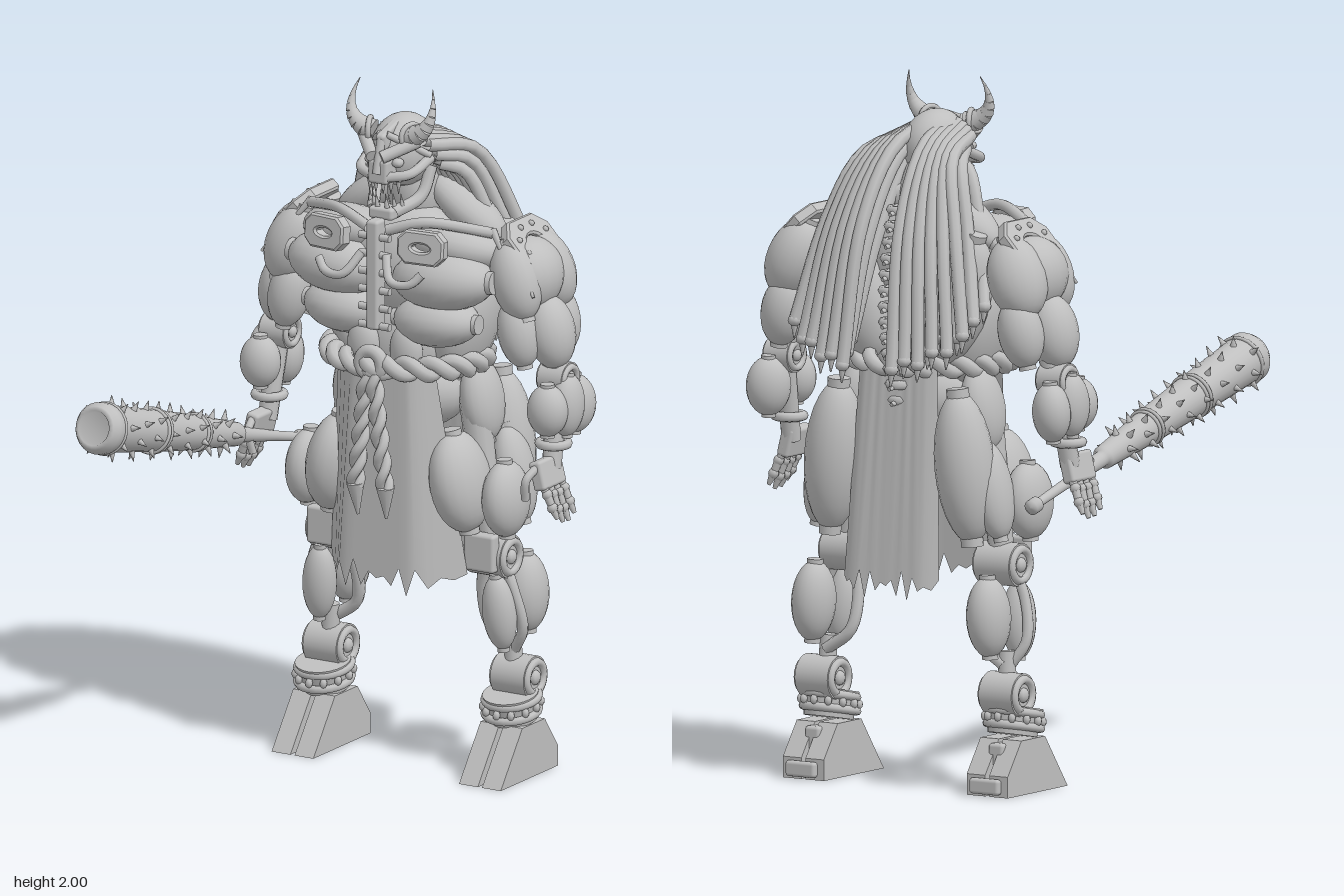
import * as THREE from 'three';
import { RoundedBoxGeometry } from 'three/addons/geometries/RoundedBoxGeometry.js';

const V = (x, y, z) => new THREE.Vector3(x, y, z);
const UP = V(0, 1, 0);

export function createModel() {
  const model = new THREE.Group();
  const clay = new THREE.MeshStandardMaterial({ color: 0xbfbfbf });
  clay.name = 'grey clay';
  const cloth = new THREE.MeshStandardMaterial({ color: 0xbfbfbf, side: THREE.DoubleSide });
  cloth.name = 'grey cloth';
  const ball = new THREE.SphereGeometry(1, 20, 14);
  const bead = new THREE.SphereGeometry(1, 8, 6);

  const add = (name, geo, p = [0, 0, 0], r = [0, 0, 0], mat = clay) => {
    const m = new THREE.Mesh(geo, mat);
    m.name = name;
    m.position.set(...p);
    m.rotation.set(...r);
    model.add(m);
    return m;
  };
  // ellipsoid, with fewer faces when tiny
  const ell = (name, p, radii) => {
    const m = add(name, Math.max(...radii) < 0.025 ? bead : ball, p);
    m.scale.set(...radii);
    return m;
  };
  // straight part from a to b, tapering from ra to rb
  const bar = (name, a, b, ra, rb = ra, n = 12) => {
    const A = V(...a), d = V(...b).sub(A);
    const m = add(name, new THREE.CylinderGeometry(rb, ra, d.length(), n), A.clone().addScaledVector(d, 0.5).toArray());
    m.quaternion.setFromUnitVectors(UP, d.normalize());
    return m;
  };
  // spindle-shaped muscle with small end caps
  const muscle = (name, a, b, rx, rz) => {
    const A = V(...a), d = V(...b).sub(A), len = d.length(), mid = A.clone().addScaledVector(d, 0.5);
    const m = ell(name, mid.toArray(), [rx, len / 2, rz]);
    m.quaternion.setFromUnitVectors(UP, d.clone().normalize());
    const t = Math.min(rx, rz) * 0.38;
    for (const e of [-1, 1]) {
      const c = mid.clone().addScaledVector(d, e * 0.46);
      bar(name + ' cap', c.toArray(), c.clone().addScaledVector(d, e * 0.06).toArray(), t);
    }
  };
  const tube = (name, pts, r, n = 16, closed = false) =>
    add(name, new THREE.TubeGeometry(new THREE.CatmullRomCurve3(pts.map(p => V(...p)), closed), n, r, 8, closed));
  const box = (name, p, size, r) =>
    add(name, new RoundedBoxGeometry(...size, 2, 0.01), p, r);
  const disc = (name, p, r, w) => {
    add(name, new THREE.CylinderGeometry(r, r, w, 24), p, [0, 0, Math.PI / 2]);
    for (const e of [-1, 1]) {
      add(name + ' rim', new THREE.TorusGeometry(r * 0.72, r * 0.2, 8, 20), [p[0] + e * w / 2, p[1], p[2]], [0, Math.PI / 2, 0]);
      ell(name + ' hub', [p[0] + e * w / 2, p[1], p[2]], [0.015, r * 0.35, r * 0.35]);
    }
  };
  // chamfered plate with a hole, lying in the XY plane
  const holedPlate = (w, h, hw, hh, d) => {
    const s = new THREE.Shape(), c = Math.min(w, h) * 0.25, x = w / 2, y = h / 2;
    [[-x + c, -y], [x - c, -y], [x, -y + c], [x, y - c], [x - c, y], [-x + c, y], [-x, y - c], [-x, -y + c]]
      .forEach((p, i) => i ? s.lineTo(...p) : s.moveTo(...p));
    s.closePath();
    s.holes.push(new THREE.Path().absellipse(0, 0, hw, hh, 0, Math.PI * 2, true));
    return new THREE.ExtrudeGeometry(s, { depth: d, curveSegments: 8, bevelSize: 0.006, bevelThickness: 0.006, bevelSegments: 1 });
  };

  // torso core, spine and ribs
  ell('rib cage', [0, 1.46, -0.31], [0.2, 0.18, 0.14]);
  ell('belly', [0, 1.24, -0.31], [0.17, 0.17, 0.13]);
  ell('pelvis', [0, 1.1, -0.32], [0.18, 0.12, 0.13]);
  box('sternum', [0, 1.47, -0.13], [0.04, 0.32, 0.05]);
  for (let i = 0; i < 13; i++) {
    const y = 1.1 + i * 0.045, z = -0.46 - 0.05 * Math.sin(i / 4);
    add('vertebra', new THREE.TorusGeometry(0.026, 0.014, 6, 14), [0, y, z], [Math.PI / 2, 0, 0]);
    bar('vertebra spine', [0, y, z], [0, y - 0.01, z - 0.05], 0.012, 0.006, 8);
  }
  for (let i = 0; i < 6; i++) bar('sternum rib', [-0.05, 1.32 + i * 0.052, -0.125], [0.05, 1.32 + i * 0.052, -0.125], 0.011);
  muscle('neck', [0, 1.54, -0.36], [0, 1.8, -0.31], 0.075, 0.08);

  const toe = new THREE.Shape([[-0.185, 0], [-0.49, 0], [-0.49, 0.06], [-0.42, 0.155], [-0.3, 0.155]].map(p => new THREE.Vector2(...p)));
  const toeGeo = new THREE.ExtrudeGeometry(toe, { depth: 0.062, bevelEnabled: false }).translate(0, 0, -0.031).rotateY(-Math.PI / 2);

  for (const s of [-1, 1]) {
    // foot and ankle
    for (const e of [-1, 1]) add('toe', toeGeo, [s * (0.31 + e * 0.038), 0, 0]);
    box('foot bridge', [s * 0.31, 0.08, -0.4], [0.05, 0.13, 0.1]);
    box('heel spur', [s * 0.31, 0.03, -0.5], [0.1, 0.045, 0.025]);
    add('ankle cup', new THREE.CylinderGeometry(0.08, 0.07, 0.08, 24), [s * 0.31, 0.2, -0.355], [0.2, 0, 0]);
    for (const y of [0.185, 0.225]) add('ankle ring', new THREE.TorusGeometry(0.077, 0.012, 8, 24), [s * 0.31, y, -0.355], [Math.PI / 2 + 0.2, 0, 0]);
    for (let i = 0; i < 12; i++) {
      const a = i * Math.PI / 6;
      ell('ankle stud', [s * 0.31 + 0.082 * Math.cos(a), 0.205 - 0.016 * Math.sin(a), -0.355 + 0.082 * Math.sin(a)], [0.011, 0.014, 0.011]);
    }
    disc('ankle joint', [s * 0.31, 0.28, -0.39], 0.062, 0.11);
    bar('shin post', [s * 0.305, 0.27, -0.38], [s * 0.3, 0.4, -0.375], 0.028, 0.024);
    // shin
    tube('shin bone', [[s * 0.3, 0.36, -0.39], [s * 0.22, 0.42, -0.385], [s * 0.21, 0.53, -0.36], [s * 0.24, 0.64, -0.335]], 0.018);
    tube('shin bone', [[s * 0.31, 0.36, -0.37], [s * 0.35, 0.43, -0.35], [s * 0.33, 0.55, -0.33], [s * 0.29, 0.64, -0.335]], 0.016);
    muscle('shin muscle', [s * 0.305, 0.37, -0.32], [s * 0.29, 0.59, -0.3], 0.05, 0.047);
    muscle('calf', [s * 0.3, 0.39, -0.46], [s * 0.29, 0.62, -0.46], 0.06, 0.072);
    disc('knee joint', [s * 0.26, 0.64, -0.335], 0.062, 0.12);
    box('kneecap', [s * 0.26, 0.66, -0.275], [0.1, 0.11, 0.04]);
    // thigh and hip
    bar('thigh bone', [s * 0.26, 0.64, -0.335], [s * 0.2, 1.1, -0.33], 0.035, 0.045);
    muscle('inner thigh', [s * 0.23, 0.72, -0.26], [s * 0.18, 1.01, -0.24], 0.078, 0.11);
    muscle('outer thigh', [s * 0.33, 0.71, -0.3], [s * 0.32, 0.93, -0.3], 0.06, 0.09);
    muscle('hamstring', [s * 0.24, 0.71, -0.46], [s * 0.2, 1.14, -0.475], 0.085, 0.088);
    muscle('outer hamstring', [s * 0.31, 0.72, -0.42], [s * 0.25, 1.0, -0.42], 0.055, 0.07);
    muscle('hip muscle', [s * 0.23, 0.96, -0.36], [s * 0.19, 1.2, -0.36], 0.055, 0.08);

    // chest, flank and back
    muscle('chest muscle', [s * 0.02, 1.45, -0.2], [s * 0.33, 1.47, -0.22], 0.088, 0.105);
    muscle('lower chest muscle', [s * 0.02, 1.33, -0.21], [s * 0.28, 1.34, -0.22], 0.075, 0.095);
    muscle('upper chest muscle', [s * 0.05, 1.56, -0.24], [s * 0.32, 1.53, -0.3], 0.07, 0.1);
    muscle('flank', [s * 0.14, 1.14, -0.32], [s * 0.22, 1.46, -0.34], 0.075, 0.12);
    muscle('back muscle', [s * 0.1, 1.2, -0.43], [s * 0.24, 1.58, -0.44], 0.1, 0.08);
    muscle('neck muscle', [s * 0.04, 1.7, -0.37], [s * 0.27, 1.55, -0.38], 0.055, 0.07);
    muscle('belly muscle', [s * 0.07, 1.16, -0.19], [s * 0.07, 1.32, -0.17], 0.05, 0.04);
    tube('collar bone', [[s * 0.03, 1.6, -0.14], [s * 0.14, 1.63, -0.17], [s * 0.3, 1.6, -0.27]], 0.016);
    add('chest plate', holedPlate(0.13, 0.085, 0.035, 0.018, 0.03), [s * 0.155, 1.57, -0.14], [-0.1, s * 0.15, 0]);
    tube('chest hook', [[s * 0.04, 1.53, -0.12], [s * 0.08, 1.47, -0.08], [s * 0.14, 1.47, -0.085], [s * 0.17, 1.5, -0.1]], 0.013);

    // shoulder
    ell('shoulder', [s * 0.365, 1.47, -0.35], [0.1, 0.11, 0.12]);
    muscle('front shoulder muscle', [s * 0.33, 1.58, -0.29], [s * 0.41, 1.36, -0.27], 0.075, 0.07);
    muscle('rear shoulder muscle', [s * 0.33, 1.58, -0.42], [s * 0.42, 1.36, -0.45], 0.08, 0.085);
    const plate = holedPlate(0.2, 0.16, 0.045, 0.035, 0.025).rotateY(s * Math.PI / 2);
    const pad = add('shoulder plate', plate, [s * 0.365, 1.545, -0.365], [0, 0, s * 0.75]);
    for (let i = 0; i < 8; i++) {
      const a = (i + 0.5) * Math.PI / 4;
      pad.add(ell('shoulder rivet', [s * 0.032, 0.06 * Math.sin(a), 0.075 * Math.cos(a)], [0.009, 0.009, 0.009]));
    }
    for (let i = 0; i < 4; i++) bar('shoulder tassel', [s * (0.3 + 0.03 * i), 1.61 - 0.03 * i, -0.27], [s * (0.36 + 0.03 * i), 1.53 - 0.03 * i, -0.245], 0.012, 0.004, 8);

    // upper arm
    bar('upper arm bone', [s * 0.38, 1.45, -0.36], [s * 0.46, 1.17, -0.36], 0.04, 0.035);
    muscle('outer arm muscle', [s * 0.42, 1.42, -0.35], [s * 0.465, 1.21, -0.35], 0.068, 0.075);
    muscle('biceps', [s * 0.36, 1.42, -0.28], [s * 0.4, 1.22, -0.28], 0.06, 0.062);
    muscle('triceps', [s * 0.38, 1.42, -0.46], [s * 0.42, 1.22, -0.45], 0.065, 0.065);
    disc('elbow joint', [s * 0.46, 1.18, -0.36], 0.05, 0.08);
    // forearm
    bar('forearm bone', [s * 0.46, 1.18, -0.36], [s * 0.47, 0.93, -0.31], 0.03, 0.028);
    muscle('forearm muscle', [s * 0.475, 1.18, -0.28], [s * 0.475, 1.03, -0.28], 0.06, 0.055);
    muscle('forearm muscle', [s * 0.475, 1.18, -0.42], [s * 0.48, 1.01, -0.41], 0.065, 0.055);
    muscle('forearm muscle', [s * 0.5, 1.2, -0.35], [s * 0.5, 1.02, -0.34], 0.045, 0.06);
    add('wrist ring', new THREE.TorusGeometry(0.04, 0.014, 8, 20), [s * 0.47, 1.0, -0.32], [Math.PI / 2, 0, 0]);
    // hand
    box('palm', [s * 0.475, 0.925, -0.28], [0.04, 0.085, 0.12], [0, 0, s * 0.25]);
    for (let i = 0; i < 4; i++) {
      const z = -0.235 - i * 0.03, y = 0.78 + Math.abs(i - 1.6) * 0.015;
      let a = [s * 0.48, 0.91, z];
      for (const [x, t] of [[0.5, 0.35], [0.515, 0.7], [0.53, 1]]) {
        const b = [s * x, 0.91 + (y - 0.91) * t, z - 0.01 * t];
        bar('finger', a, b, 0.013, t === 1 ? 0.006 : 0.011, 10);
        ell('knuckle', a, [0.016, 0.016, 0.016]);
        a = b;
      }
    }
    tube('thumb', [[s * 0.47, 0.95, -0.23], [s * 0.46, 0.92, -0.19], [s * 0.45, 0.86, -0.2]], 0.012);

    // horn, built from shrinking segments
    const horn = new THREE.QuadraticBezierCurve3(V(s * 0.06, 1.86, -0.21), V(s * 0.165, 1.89, -0.19), V(s * 0.12, 2, -0.24));
    for (let i = 0; i < 8; i++)
      bar('horn', horn.getPoint(i / 8).toArray(), horn.getPoint((i + 1) / 8).toArray(), 0.034 * (1 - i / 8), Math.max(0.001, 0.034 * (1 - (i + 1) / 8)), 16);
    add('horn ring', new THREE.TorusGeometry(0.034, 0.008, 8, 20), [s * 0.068, 1.864, -0.208], [0, s * 1.2, 0]);
    // face
    bar('brow', [s * 0.015, 1.81, -0.135], [s * 0.09, 1.85, -0.21], 0.018);
    ell('eye', [s * 0.045, 1.79, -0.175], [0.018, 0.014, 0.018]);
    tube('cheek bone', [[s * 0.025, 1.75, -0.15], [s * 0.08, 1.76, -0.18], [s * 0.095, 1.79, -0.27]], 0.015);
    tube('jaw bone', [[s * 0.085, 1.76, -0.29], [s * 0.075, 1.68, -0.25], [s * 0.035, 1.645, -0.17]], 0.018);
    bar('mask strap', [s * 0.01, 1.87, -0.17], [s * 0.1, 1.8, -0.26], 0.01);
    for (let i = 0; i < 3; i++) {
      bar('upper tooth', [s * (0.012 + i * 0.018), 1.735, -0.15 - i * 0.012], [s * (0.012 + i * 0.018), 1.7, -0.15 - i * 0.012], 0.008, 0.001, 8);
      bar('lower tooth', [s * (0.016 + i * 0.018), 1.655, -0.165 - i * 0.012], [s * (0.016 + i * 0.018), 1.7, -0.155 - i * 0.012], 0.008, 0.001, 8);
    }
    // hair strands in three layers
    for (let layer = 0; layer < 3; layer++) for (let i = 0; i < 6; i++) {
      const u = 0.13 + i * 0.16 + layer * 0.04;
      const tip = [s * (0.05 + 0.25 * u), 1.21 + 0.03 * layer + 0.1 * u * u + 0.02 * (i % 2), -0.635 + 0.035 * layer + 0.07 * u * u];
      const bend = [s * (0.04 + 0.19 * u), 1.6 - 0.02 * layer, -0.565 + 0.05 * layer + 0.06 * u * u];
      tube('hair strand', [[s * (0.015 + 0.085 * u), 1.875 - 0.03 * layer - 0.05 * u * u, -0.25 - 0.03 * layer],
        [s * (0.03 + 0.13 * u), 1.81 - 0.02 * layer - 0.03 * u, -0.43 + 0.04 * layer], bend, tip], 0.019);
      ell('hair bead', tip, [0.021, 0.018, 0.021]);
      bar('hair tip', tip, [tip[0], tip[1] - 0.05, tip[2] - 0.005], 0.014, 0.002, 8);
    }
  }

  // skull, snout and jaw
  ell('skull', [0, 1.8, -0.28], [0.09, 0.105, 0.11]);
  box('snout', [0, 1.765, -0.18], [0.065, 0.07, 0.09]);
  box('chin', [0, 1.64, -0.18], [0.08, 0.035, 0.06]);
  box('crest', [0, 1.86, -0.2], [0.03, 0.05, 0.1], [0.3, 0, 0]);
  bar('nose ridge', [0, 1.86, -0.16], [0, 1.76, -0.135], 0.013);

  // twisted rope belt, knot and hanging ends
  for (const phase of [0, Math.PI]) {
    const pts = [];
    for (let i = 0; i < 80; i++) {
      const a = i / 80 * Math.PI * 2, t = a * 10 + phase, k = 0.018 * Math.cos(t);
      pts.push([(0.225 + k) * Math.cos(a), 1.205 + 0.018 * Math.sin(t), -0.3 + (0.185 + k) * Math.sin(a)]);
    }
    tube('rope belt', pts, 0.021, 160, true);
    for (const s of [-1, 1]) {
      const end = [];
      for (let i = 0; i <= 24; i++) {
        const t = i / 24;
        end.push([s * (0.01 + 0.04 * t) + 0.012 * Math.cos(t * 16 + phase), 1.19 - 0.34 * t, -0.1 + 0.012 * Math.sin(t * 16 + phase)]);
      }
      tube('hanging rope', end, 0.015, 40);
    }
  }
  for (const s of [-1, 1]) bar('rope end', [s * 0.05, 0.86, -0.1], [s * 0.047, 0.765, -0.11], 0.027, 0.004, 10);
  add('rope knot', new THREE.TorusGeometry(0.035, 0.02, 10, 24), [0, 1.215, -0.105]);
  ell('rope knot', [0, 1.19, -0.105], [0.03, 0.025, 0.025]);

  // loincloth panels with torn hems
  const panel = (name, hTop, hBottom, z, fold, dir, lean) => {
    const g = new THREE.PlaneGeometry(2, 1, 18, 1), p = g.attributes.position;
    for (let i = 0; i < p.count; i++) {
      const low = p.getY(i) < 0, k = i % 19, x = p.getX(i) * (low ? hBottom : hTop);
      const y = low ? 0.56 + (k % 2 ? 0 : 0.045) + 0.02 * Math.sin(k * 2.3) : 1.2;
      p.setXYZ(i, x, y, z + dir * (low ? lean : 0) - dir * Math.max(0, Math.abs(x) - 0.12) * fold);
    }
    g.computeVertexNormals();
    add(name, g, [0, 0, 0], [0, 0, 0], cloth);
  };
  panel('front loincloth', 0.16, 0.225, -0.14, 1.2, 1, 0.01);
  panel('back loincloth', 0.13, 0.16, -0.48, 0.8, -1, 0.06);

  // spiked club, built upright and then tipped forward
  const body = model.children.length;
  const prof = [[0, -0.38], [0.022, -0.375], [0.022, -0.345], [0.013, -0.335], [0.015, -0.2], [0.023, -0.02], [0.023, 0], [0.034, 0.005], [0.04, 0.1],
    [0.05, 0.24], [0.06, 0.46], [0.068, 0.72], [0.074, 0.74], [0.074, 0.765], [0.062, 0.785], [0.05, 0.79], [0.045, 0.78], [0, 0.78]];
  add('club', new THREE.LatheGeometry(prof.map(p => new THREE.Vector2(...p)), 24));
  for (const [y, r] of [[0.225, 0.05], [0.24, 0.051], [0.46, 0.061], [0.475, 0.062], [0.73, 0.071]])
    add('club band', new THREE.TorusGeometry(r, 0.006, 8, 24), [0, y, 0], [Math.PI / 2, 0, 0]);
  for (let row = 0; row < 8; row++) for (let i = 0; i < 8; i++) {
    const y = 0.08 + row * 0.087 + (i % 2) * 0.025, r = 0.036 + y * 0.042, a = i * Math.PI / 4 + row * 0.2;
    bar('club spike', [r * Math.cos(a), y, r * Math.sin(a)], [(r + 0.03) * Math.cos(a), y, (r + 0.03) * Math.sin(a)], 0.01, 0.001, 8);
  }
  const club = new THREE.Group();
  club.name = 'spiked club';
  club.add(...model.children.slice(body));
  club.position.set(-0.46, 0.93, -0.13);
  club.rotation.x = Math.PI / 2 - 0.263;
  model.add(club);
  return model;
}
